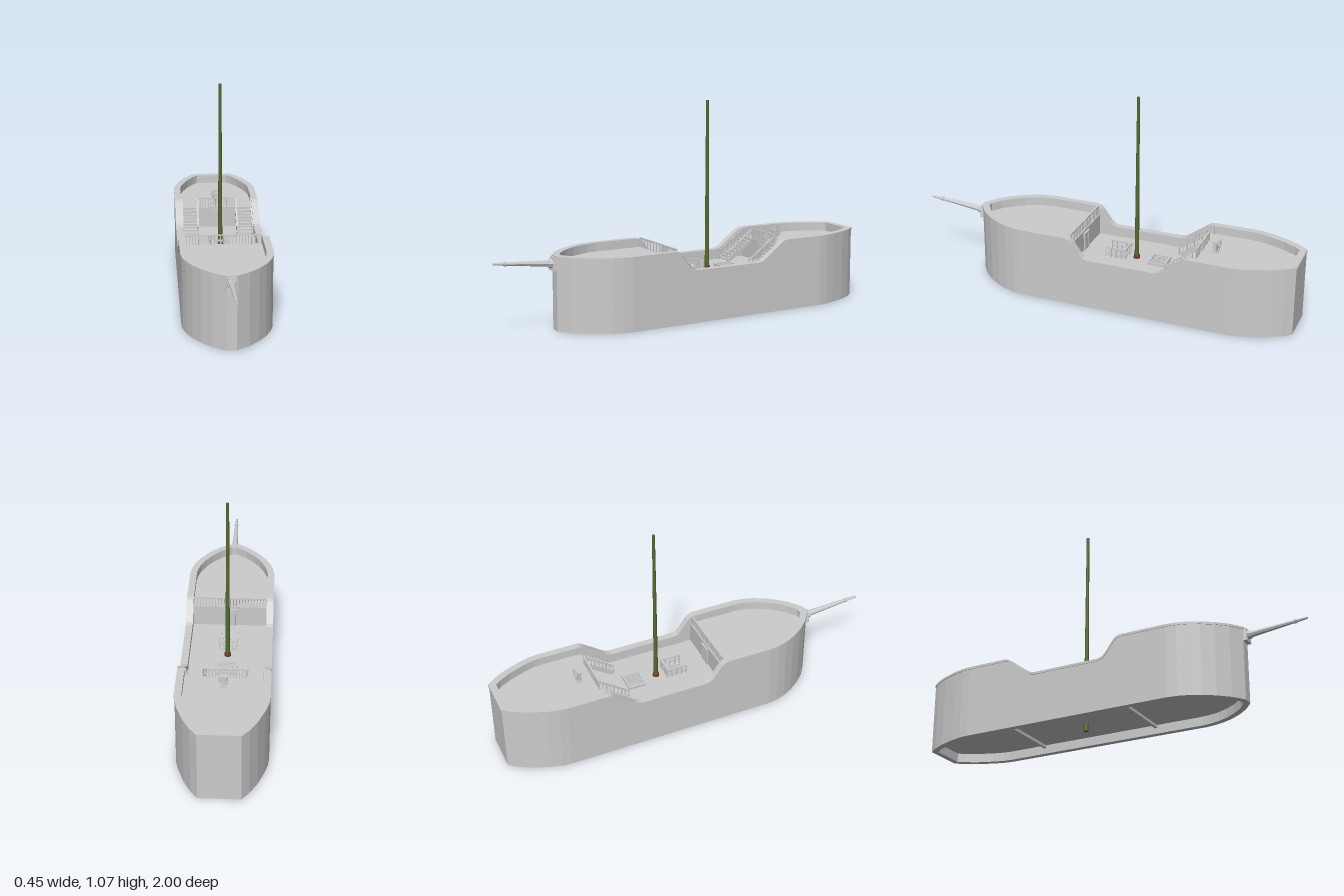
import * as THREE from 'three';

const grey = new THREE.MeshStandardMaterial({ color: 0xcccccc, flatShading: true, side: THREE.DoubleSide });
const olive = new THREE.MeshStandardMaterial({ color: 0x556b2f });
const brown = new THREE.MeshStandardMaterial({ color: 0x7a3b22 });

const MAIN = 0.21, UPPER = 0.32, AFT_Z = -0.505, FORE_Z = 0.125;

// Half plan of the hull from stern to bow, as [x, z]
const halfPlan = [
  [0.1, -1], [0.135, -0.955], [0.17, -0.89], [0.2, -0.81], [0.215, -0.755], [0.22, -0.71],
  ...[-0.5, -0.48, -0.455, -0.37, -0.35, -0.325, 0.025, 0.045, 0.065, 0.105, 0.12, 0.14].map(z => [0.22, z]),
  [0.22, 0.38], [0.213, 0.43], [0.198, 0.48], [0.172, 0.535], [0.135, 0.59], [0.085, 0.645], [0.025, 0.688]];
const plan = [...halfPlan, ...halfPlan.map(([x, z]) => [-x, z]).reverse()];

// Plan moved outwards by d with mitred corners
function offsetPlan(d) {
  const n = plan.length;
  const normal = (a, b) => {
    const x = b[0] - a[0], z = b[1] - a[1], l = Math.hypot(x, z);
    return [z / l, -x / l];
  };
  return plan.map((p, i) => {
    const a = normal(plan[(i + n - 1) % n], p), b = normal(p, plan[(i + 1) % n]);
    const k = d / (1 + a[0] * b[0] + a[1] * b[1]);
    return [p[0] + (a[0] + b[0]) * k, p[1] + (a[1] + b[1]) * k];
  });
}

// Height of the rim along the ship: high ends, low waist
const sheerKnots = [[-0.5, 0.365], [-0.48, 0.36], [-0.455, 0.343], [-0.37, 0.28], [-0.35, 0.268], [-0.325, 0.263],
  [0.025, 0.263], [0.045, 0.27], [0.065, 0.29], [0.105, 0.345], [0.12, 0.358], [0.14, 0.365]];
function sheer(z) {
  if (z <= -0.5 || z >= 0.14) return 0.365;
  const i = sheerKnots.findIndex(k => k[0] >= z - 1e-6);
  if (i <= 0) return 0.365;
  const [a, b] = [sheerKnots[i - 1], sheerKnots[i]];
  return a[1] + (b[1] - a[1]) * (z - a[0]) / (b[0] - a[0]);
}

// Closed ring round the plan; section is a list of [offset, height(top)]
function ring(section) {
  const rows = section.map(([d, h]) => offsetPlan(d).map((p, i) => [p[0], h(sheer(plan[i][1])), p[1]]));
  const pos = [], n = plan.length, m = rows.length;
  for (let j = 0; j < m; j++) for (let i = 0; i < n; i++) {
    const a = rows[j][i], b = rows[(j + 1) % m][i], c = rows[(j + 1) % m][(i + 1) % n], d = rows[j][(i + 1) % n];
    pos.push(...a, ...b, ...d, ...b, ...c, ...d);
  }
  const g = new THREE.BufferGeometry();
  g.setAttribute('position', new THREE.Float32BufferAttribute(pos, 3));
  g.computeVertexNormals();
  return g;
}

// Flat deck filling the hull between two stations
function deckGeometry(z0, z1, thick) {
  const inner = offsetPlan(-0.02).slice(0, halfPlan.length);
  const half = inner.filter(p => p[1] > z0 && p[1] < z1);
  if (z0 > -1) half.unshift([0.2, z0]);
  if (z1 < 0.66) half.push([0.2, z1]);
  const pts = [...half, ...half.map(([x, z]) => [-x, z]).reverse()];
  const shape = new THREE.Shape(pts.map(([x, z]) => new THREE.Vector2(x, -z)));
  return new THREE.ExtrudeGeometry(shape, { depth: thick, bevelEnabled: false }).rotateX(-Math.PI / 2);
}

function add(parent, name, geometry, x = 0, y = 0, z = 0, material = grey) {
  const mesh = new THREE.Mesh(geometry, material);
  mesh.name = name;
  mesh.position.set(x, y, z);
  parent.add(mesh);
  return mesh;
}
const box = (parent, name, w, h, d, x, y, z) => add(parent, name, new THREE.BoxGeometry(w, h, d), x, y, z);

// Square bar between two points
function bar(parent, name, a, b, w, h = w) {
  const A = new THREE.Vector3(...a), B = new THREE.Vector3(...b);
  const mesh = box(parent, name, w, h, A.distanceTo(B), 0, 0, 0);
  mesh.position.copy(A).add(B).multiplyScalar(0.5);
  mesh.lookAt(B);
  return mesh;
}

// Handrail on balusters between two foot points
function railing(parent, name, a, b, height, count) {
  const g = new THREE.Group();
  g.name = name;
  parent.add(g);
  const up = p => [p[0], p[1] + height, p[2]];
  bar(g, 'handrail', up(a), up(b), 0.009, 0.006);
  for (let i = 0; i <= count; i++) {
    const p = a.map((v, k) => v + (b[k] - v) * i / count);
    bar(g, 'baluster', p, [p[0], p[1] + height, p[2] + 1e-5], 0.005);
  }
}

// Wall with a framed door; side is the z direction it faces
function bulkhead(parent, z, side) {
  box(parent, 'bulkhead', 0.4, UPPER - 0.03, 0.014, 0, (UPPER + 0.03) / 2, z);
  const f = z + side * 0.009;
  box(parent, 'door', 0.046, 0.085, 0.006, 0, MAIN + 0.0425, f);
  for (const s of [-1, 1]) box(parent, 'doorPost', 0.006, 0.092, 0.012, s * 0.026, MAIN + 0.046, f);
  box(parent, 'doorLintel', 0.07, 0.007, 0.016, 0, MAIN + 0.094, f);
  for (const y of [0.025, 0.065]) box(parent, 'doorHinge', 0.036, 0.005, 0.01, 0, MAIN + y, f);
  box(parent, 'doorKnob', 0.005, 0.005, 0.014, 0.016, MAIN + 0.045, f);
}

// Flight of steps up to the aft deck
function stairs(parent, s) {
  const g = new THREE.Group();
  g.name = 'stairs';
  parent.add(g);
  const z0 = -0.35, z1 = AFT_Z, n = 9;
  for (let i = 0; i < n; i++) {
    const t = (i + 0.5) / n;
    box(g, 'tread', 0.08, 0.006, 0.02, s * 0.145, MAIN + (UPPER - MAIN) * (i + 1) / n - 0.003, z0 + (z1 - z0) * t);
  }
  for (const x of [0.104, 0.186]) {
    bar(g, 'stringer', [s * x, MAIN, z0], [s * x, UPPER - 0.006, z1], 0.007, 0.02);
    railing(g, 'stairRail', [s * x, MAIN, z0], [s * x, UPPER, z1], 0.045, 8);
  }
}

export function createModel() {
  const ship = new THREE.Group();
  ship.name = 'ship';

  // Hull wall and its overhanging cap
  add(ship, 'hull', ring([[0, () => 0], [0, t => t - 0.008], [-0.03, t => t - 0.008], [-0.03, () => 0]]));
  add(ship, 'rim', ring([[0.003, t => t - 0.012], [0.003, t => t], [-0.032, t => t], [-0.032, t => t - 0.012]]));

  // Decks and bulkheads
  add(ship, 'bottomPlate', deckGeometry(-2, 2, 0.01), 0, 0.045, 0);
  add(ship, 'mainDeck', deckGeometry(AFT_Z, FORE_Z, 0.01), 0, MAIN - 0.01, 0);
  add(ship, 'aftDeck', deckGeometry(-2, AFT_Z + 0.008, 0.01), 0, UPPER - 0.01, 0);
  add(ship, 'foreDeck', deckGeometry(FORE_Z - 0.008, 2, 0.01), 0, UPPER - 0.01, 0);
  bulkhead(ship, AFT_Z, 1);
  bulkhead(ship, FORE_Z, -1);
  railing(ship, 'foreRailing', [-0.185, UPPER, FORE_Z], [0.185, UPPER, FORE_Z], 0.048, 24);
  railing(ship, 'aftRailing', [-0.1, UPPER, AFT_Z], [0.1, UPPER, AFT_Z], 0.048, 14);
  for (const s of [-1, 1]) stairs(ship, s);

  // Cargo grating behind the mast
  const grate = new THREE.Group();
  grate.name = 'hatchGrating';
  grate.position.set(0, MAIN, -0.28);
  ship.add(grate);
  for (const s of [-1, 1]) {
    box(grate, 'gratingEdge', 0.008, 0.012, 0.09, s * 0.048, 0.006, 0);
    box(grate, 'gratingEdge', 0.104, 0.012, 0.008, 0, 0.006, s * 0.043);
  }
  for (let i = -4; i <= 4; i++) box(grate, 'gratingSlat', 0.094, 0.008, 0.005, 0, 0.004, i * 0.0095);
  for (let i = -3; i <= 3; i++) box(grate, 'gratingSlat', 0.004, 0.007, 0.086, i * 0.0125, 0.0035, 0);

  // Railed companionway ahead of the mast
  for (const s of [-1, 1]) {
    railing(ship, 'hatchRail', [s * 0.043, MAIN, -0.115], [s * 0.043, MAIN, -0.01], 0.05, 4);
    bar(ship, 'hatchMidRail', [s * 0.043, MAIN + 0.026, -0.115], [s * 0.043, MAIN + 0.026, -0.01], 0.005);
  }
  railing(ship, 'hatchRail', [-0.043, MAIN, -0.112], [0.043, MAIN, -0.112], 0.05, 4);
  for (let i = 0; i < 6; i++) box(ship, 'hatchSlat', 0.006, 0.006, 0.1, -0.03 + i * 0.012, MAIN + 0.003, -0.062);

  // Steering wheel on its pedestal
  const helm = new THREE.Group();
  helm.name = 'helm';
  helm.position.set(0, UPPER, -0.57);
  ship.add(helm);
  box(helm, 'pedestalFoot', 0.036, 0.006, 0.03, 0, 0.003, 0);
  box(helm, 'pedestal', 0.024, 0.05, 0.018, 0, 0.028, 0);
  box(helm, 'pedestalTop', 0.034, 0.006, 0.026, 0, 0.055, 0);
  add(helm, 'wheelRim', new THREE.TorusGeometry(0.02, 0.0025, 6, 20), 0, 0.045, -0.02);
  add(helm, 'wheelHub', new THREE.CylinderGeometry(0.005, 0.005, 0.022, 8).rotateX(Math.PI / 2), 0, 0.045, -0.014);
  for (let i = 0; i < 4; i++) {
    box(helm, 'wheelSpoke', 0.06, 0.003, 0.003, 0, 0.045, -0.02).rotation.z = i * Math.PI / 4;
  }

  // Mast
  add(ship, 'mast', new THREE.CylinderGeometry(0.007, 0.0125, 1.068, 12), 0, 0.534, -0.16, olive);
  add(ship, 'mastCollar', new THREE.CylinderGeometry(0.015, 0.017, 0.018, 12), 0, MAIN + 0.009, -0.16, brown);

  // Bowsprit with socket and collars
  const socket = new THREE.CylinderGeometry(0.028, 0.04, 0.065, 4).rotateY(Math.PI / 4);
  socket.scale(1, 1, 0.6);
  add(ship, 'bowspritSocket', socket, 0, 0.327, 0.69);
  const sprit = new THREE.Group();
  sprit.name = 'bowsprit';
  sprit.position.set(0, 0.328, 0.69);
  sprit.rotation.x = Math.PI / 2 - 0.087;
  ship.add(sprit);
  add(sprit, 'spar', new THREE.CylinderGeometry(0.006, 0.017, 0.31, 8), 0, 0.155, 0);
  add(sprit, 'sparCollar', new THREE.CylinderGeometry(0.011, 0.011, 0.01, 8), 0, 0.25, 0);
  add(sprit, 'sparHeel', new THREE.CylinderGeometry(0.02, 0.024, 0.02, 8), 0, 0.02, 0);
  return ship;
}
